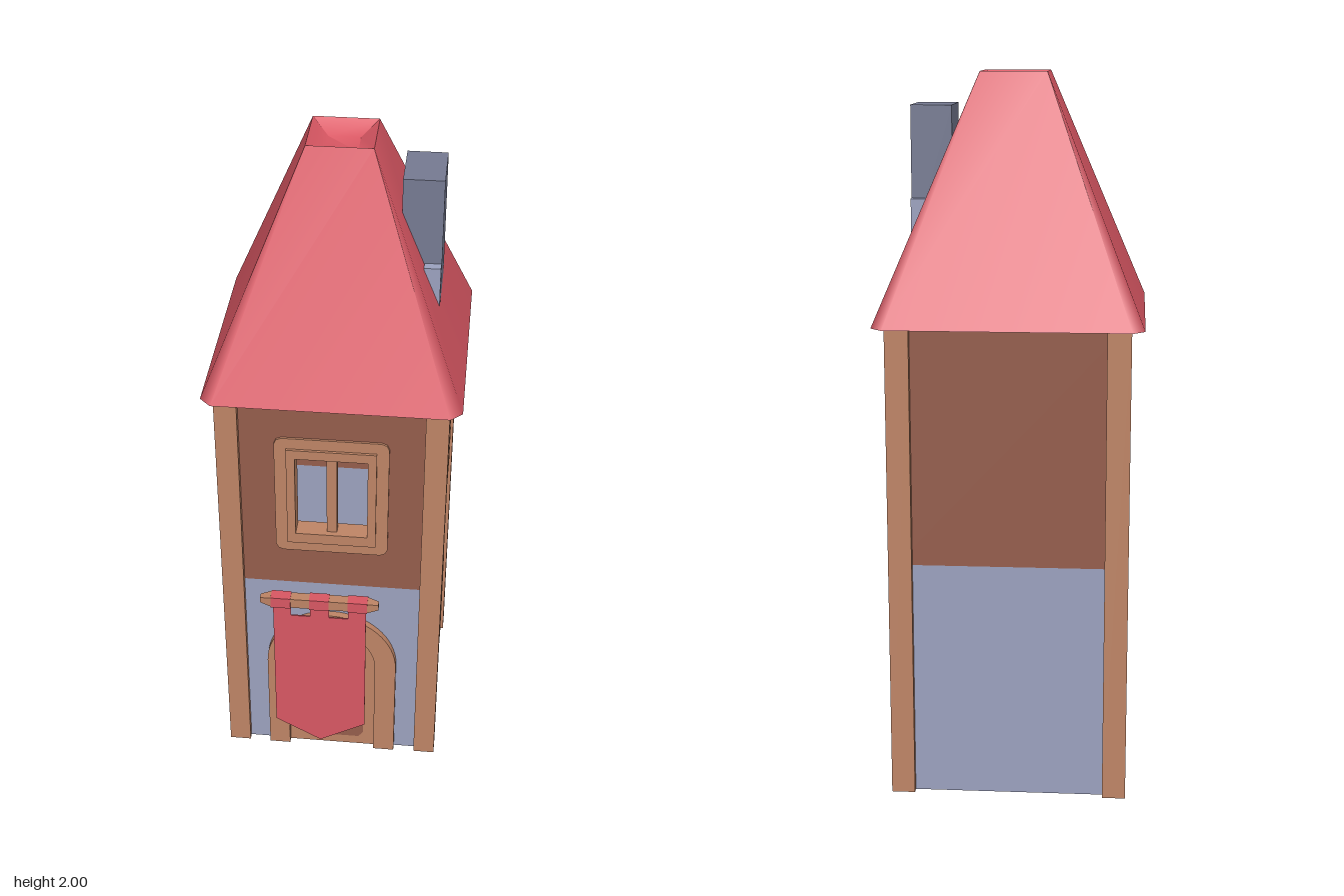
import * as THREE from 'three';

const mat = (name, color) => {
  const m = new THREE.MeshStandardMaterial({ color });
  m.name = name;
  return m;
};

export function createModel() {
  const red = mat('red', 0xd95763);
  const wood = mat('wood', 0xbf8566);
  const darkWood = mat('dark wood', 0x955d4c);
  const stone = mat('stone', 0x9ca2bf);
  const slate = mat('slate', 0x767b92);

  const model = new THREE.Group();
  const house = new THREE.Group();
  house.name = 'house';
  house.position.z = -0.143;
  model.add(house);

  const add = (parent, name, geometry, material, x = 0, y = 0, z = 0) => {
    const mesh = new THREE.Mesh(geometry, material);
    mesh.name = name;
    mesh.position.set(x, y, z);
    parent.add(mesh);
    return mesh;
  };
  const box = (parent, name, material, w, h, d, x, y, z) =>
    add(parent, name, new THREE.BoxGeometry(w, h, d), material, x, y, z);
  // Extrudes a shape from z0 to z1
  const plate = (parent, name, material, shape, z0, z1) =>
    add(parent, name, new THREE.ExtrudeGeometry(shape, { depth: z1 - z0, bevelEnabled: false, curveSegments: 16 }), material, 0, 0, z0);
  const poly = (pts) => new THREE.Shape(pts.map(([x, y]) => new THREE.Vector2(x, y)));
  // Rectangle of half width w with cut corners c
  const rect = (w, y0, y1, c = 0) => poly(c
    ? [[-w + c, y0], [w - c, y0], [w - c * 0.3, y0 + c * 0.3], [w, y0 + c], [w, y1 - c], [w - c * 0.3, y1 - c * 0.3],
      [w - c, y1], [-w + c, y1], [-w + c * 0.3, y1 - c * 0.3], [-w, y1 - c], [-w, y0 + c], [-w + c * 0.3, y0 + c * 0.3]]
    : [[-w, y0], [w, y0], [w, y1], [-w, y1]]);
  const withHole = (shape, hole) => {
    if (hole) shape.holes.push(hole);
    return shape;
  };

  // Window sizes: plate, ring and opening as [half width, bottom, top]
  const UPPER = { plate: [0.165, 0.8, 1.205], ring: [0.13, 0.835, 1.17], open: [0.105, 0.87, 1.14], mullion: true };
  const LOWER = { plate: [0.105, 0.14, 0.54], ring: [0.07, 0.17, 0.505], open: [0.04, 0.2, 0.475] };
  const addWindow = (parent, w) => {
    const g = new THREE.Group();
    g.name = 'window';
    parent.add(g);
    plate(g, 'windowSurround', wood, withHole(rect(...w.plate, 0.022), rect(...w.ring)), 0.309, 0.317);
    plate(g, 'windowFrame', wood, withHole(rect(...w.ring), rect(...w.open)), 0.265, 0.325);
    if (w.mullion) box(g, 'windowMullion', wood, 0.03, 0.28, 0.035, 0, 1.005, 0.29);
  };

  // Four walls: stone below, timber above
  const addWall = (name, angle, halfWidth, upper, lower) => {
    const g = new THREE.Group();
    g.name = name;
    g.rotation.y = angle;
    house.add(g);
    plate(g, 'lowerWall', stone, withHole(rect(halfWidth, 0, 0.67), lower && rect(...lower.ring)), 0.275, 0.31);
    plate(g, 'upperWall', darkWood, withHole(rect(halfWidth, 0.67, 1.335), upper && rect(...upper.ring)), 0.275, 0.31);
    if (upper) addWindow(g, upper);
    if (lower) addWindow(g, lower);
    return g;
  };
  const front = addWall('frontWall', 0, 0.31, UPPER, null);
  addWall('leftWall', Math.PI / 2, 0.275, UPPER, LOWER);
  addWall('backWall', Math.PI, 0.31, null, null);
  addWall('rightWall', -Math.PI / 2, 0.275, UPPER, LOWER);

  // Corner posts
  for (const x of [-1, 1]) for (const z of [-1, 1])
    box(house, 'cornerPost', wood, 0.065, 1.338, 0.065, x * 0.2975, 0.669, z * 0.2975);

  // Arched door
  const arch = (r) => {
    const s = new THREE.Shape();
    s.moveTo(-r, 0);
    s.lineTo(r, 0);
    s.lineTo(r, 0.36);
    s.absarc(0, 0.36, r, 0, Math.PI, false);
    s.closePath();
    return s;
  };
  const frame = new THREE.Shape();
  frame.moveTo(0.135, 0);
  frame.lineTo(0.2, 0);
  frame.lineTo(0.2, 0.36);
  frame.absarc(0, 0.36, 0.2, 0, Math.PI, false);
  frame.lineTo(-0.2, 0);
  frame.lineTo(-0.135, 0);
  frame.lineTo(-0.135, 0.36);
  frame.absarc(0, 0.36, 0.135, Math.PI, 0, true);
  frame.closePath();
  plate(front, 'doorFrame', wood, frame, 0.305, 0.332);
  plate(front, 'doorLeaf', wood, arch(0.136), 0.305, 0.314);

  // Dark door panel with a scooped top around the glass
  const panel = new THREE.Shape();
  panel.moveTo(-0.085, 0.035);
  panel.lineTo(0.085, 0.035);
  panel.lineTo(0.1, 0.055);
  panel.lineTo(0.1, 0.19);
  panel.lineTo(0.09, 0.3);
  panel.lineTo(0.1, 0.34);
  panel.lineTo(0.09, 0.42);
  panel.absarc(0, 0.42, 0.088, 0, Math.PI, true);
  panel.lineTo(-0.1, 0.34);
  panel.lineTo(-0.09, 0.3);
  panel.lineTo(-0.1, 0.19);
  panel.lineTo(-0.1, 0.055);
  panel.closePath();
  plate(front, 'doorPanel', darkWood, panel, 0.313, 0.317);
  plate(front, 'doorInset', wood, rect(0.062, 0.072, 0.298), 0.316, 0.319);
  plate(front, 'doorGlass', stone,
    poly([[-0.055, 0.105], [0.055, 0.105], [0.006, 0.188], [0.06, 0.28], [0.05, 0.298], [-0.05, 0.298], [-0.06, 0.28], [-0.006, 0.188]]), 0.318, 0.321);
  plate(front, 'doorSill', slate, rect(0.058, 0.072, 0.105), 0.318, 0.321);

  // Roof: rings of eight points, smooth sides, sunken top
  const ring = (h, c, y) => [[h, h - c], [h - c, h], [c - h, h], [-h, h - c], [-h, c - h], [c - h, -h], [h - c, -h], [h, c - h]]
    .map(([x, z]) => [x, y, z]);
  const loft = (rings, cap) => {
    const pos = rings.flat(2);
    const index = [];
    for (let r = 0; r < rings.length - 1; r++)
      for (let i = 0; i < 8; i++) {
        const a = r * 8 + i, b = r * 8 + ((i + 1) % 8);
        index.push(a, a + 8, b, b, a + 8, b + 8);
      }
    const last = (rings.length - 1) * 8;
    if (cap) for (let i = 1; i < 7; i++) index.push(last, last + i + 1, last + i);
    const g = new THREE.BufferGeometry();
    g.setAttribute('position', new THREE.Float32BufferAttribute(pos, 3));
    g.setIndex(index);
    g.computeVertexNormals();
    return g;
  };
  add(house, 'roofSlopes', loft([ring(0.365, 0.033, 1.335), ring(0.092, 0.001, 2)], false), red);
  add(house, 'roofTop', loft([ring(0.092, 0.001, 2), ring(0.045, 0.001, 1.965)], true), red);
  add(house, 'roofUnderside', loft([ring(0.05, 0.001, 1.336), ring(0.365, 0.033, 1.335)].map((r) => r), false), red);
  box(house, 'ceiling', red, 0.2, 0.002, 0.2, 0, 1.3375, 0);

  // Chimney with side shoulders
  const chimney = new THREE.Group();
  chimney.name = 'chimney';
  model.add(chimney);
  box(chimney, 'chimneyStack', slate, 0.113, 0.38, 0.172, 0.2255, 1.72, -0.147);
  for (const s of [-1, 1])
    box(chimney, 'chimneyShoulder', stone, 0.047, 0.12, 0.03, 0.2575, 1.598, -0.147 + s * 0.099);

  // Banner on a striped pole
  const banner = new THREE.Group();
  banner.name = 'banner';
  banner.position.z = 0.493;
  model.add(banner);
  plate(banner, 'bannerCloth', red, poly([[0, 0.345], [0.13, 0.42], [0.13, 0.88], [0.08, 0.88], [0.08, 0.83], [0.027, 0.83],
    [0.027, 0.88], [-0.027, 0.88], [-0.027, 0.83], [-0.08, 0.83], [-0.08, 0.88], [-0.13, 0.88], [-0.13, 0.42]]), -0.002, 0.002);
  box(banner, 'pole', wood, 0.27, 0.03, 0.03, 0, 0.885, 0);
  for (const x of [-0.107, 0, 0.107])
    box(banner, 'poleSleeve', red, 0.055, 0.034, 0.034, x, 0.885, 0);
  for (const s of [-1, 1]) {
    let tip = new THREE.CylinderGeometry(0.012, 0.022, 0.03, 4).rotateY(Math.PI / 4).rotateZ(-s * Math.PI / 2).toNonIndexed();
    tip.computeVertexNormals();
    add(banner, 'poleTip', tip, wood, s * 0.15, 0.885, 0);
  }
  return model;
}
